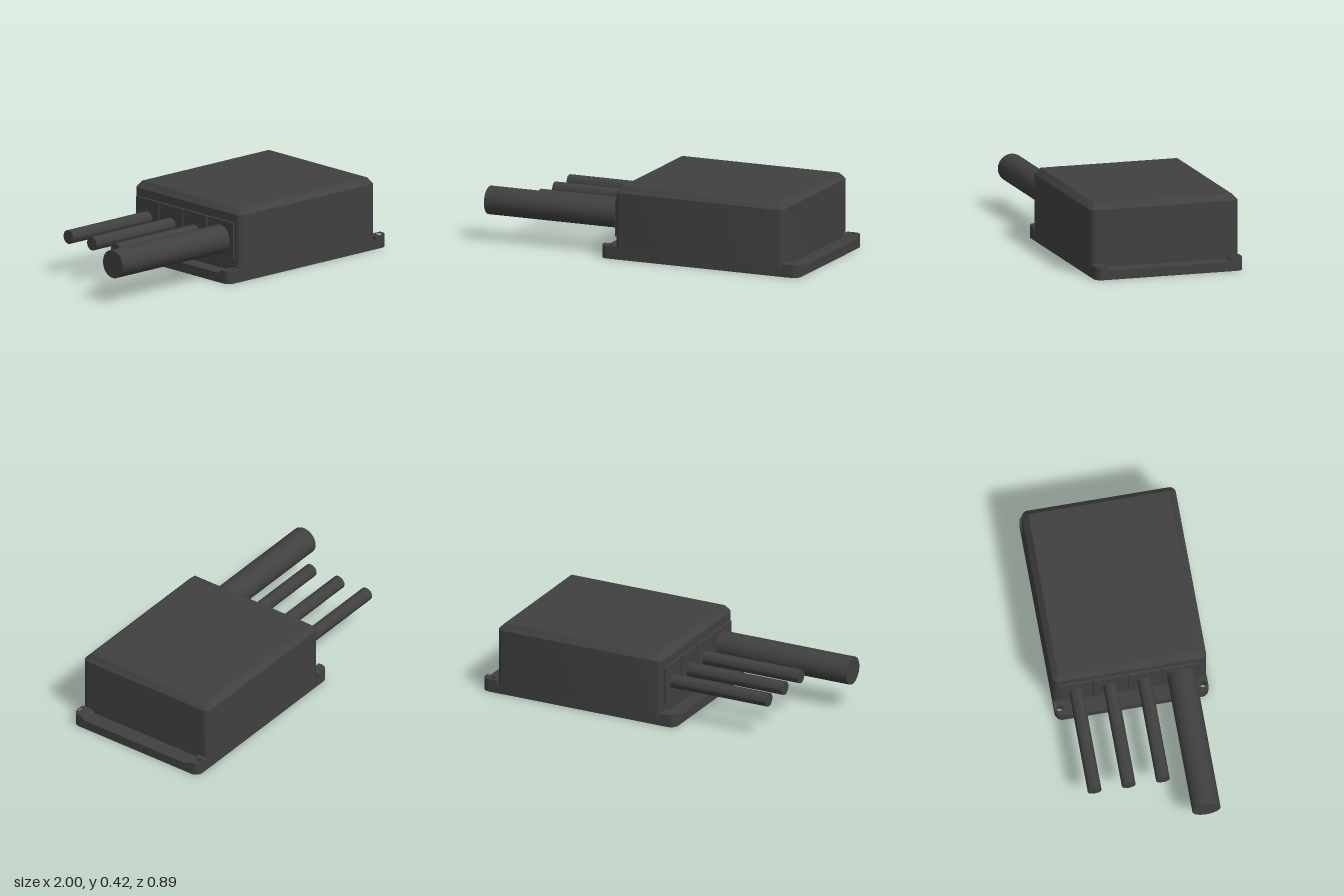
import * as THREE from 'three';
import { toCreasedNormals } from 'three/addons/utils/BufferGeometryUtils.js';

const HALF_X = 0.62, HALF_Z = 0.445, HOLE_X = 0.57, HOLE_Z = 0.415, HOLE_R = 0.02;
const CORNER = 0.045, PLATE_H = 0.055, PAD_H = 0.02, CENTER_X = 0.38;

export function createModel() {
  const group = new THREE.Group();
  const material = new THREE.MeshStandardMaterial({ color: 0x404040 });

  function add(name, geometry, x, y, z) {
    const mesh = new THREE.Mesh(toCreasedNormals(geometry, 0.6), material);
    mesh.name = name;
    mesh.position.set(x, y, z);
    group.add(mesh);
  }

  function roundedRect(hx, hz, r) {
    const s = new THREE.Shape();
    s.absarc(hx - r, hz - r, r, 0, Math.PI / 2);
    s.absarc(-hx + r, hz - r, r, Math.PI / 2, Math.PI);
    s.absarc(-hx + r, -hz + r, r, Math.PI, Math.PI * 1.5);
    s.absarc(hx - r, -hz + r, r, Math.PI * 1.5, Math.PI * 2);
    return s;
  }

  function drill(shape, x, z) {
    const hole = new THREE.Path();
    hole.absarc(x, z, HOLE_R, 0, Math.PI * 2, true);
    shape.holes.push(hole);
  }

  // Extrudes a plan outline upwards
  function slab(shape, depth, bevel = {}) {
    const options = { depth, curveSegments: 8, bevelEnabled: false, ...bevel };
    return new THREE.ExtrudeGeometry(shape, options).rotateX(-Math.PI / 2);
  }

  // Mounting plate with four screw holes
  const plate = roundedRect(HALF_X, HALF_Z, CORNER);
  for (const sx of [-1, 1]) for (const sz of [-1, 1]) drill(plate, sx * HOLE_X, sz * HOLE_Z);
  add('mountingPlate', slab(plate, PLATE_H), CENTER_X, 0, 0);

  // Raised screw pads, their inner edge sloping down to the plate
  const padInnerX = 0.525, padInnerZ = 0.38;
  for (const sx of [-1, 1]) for (const sz of [-1, 1]) {
    const points = [new THREE.Vector2(sx * padInnerX, sz * padInnerZ), new THREE.Vector2(sx * HALF_X, sz * padInnerZ)];
    for (let i = 0; i <= 8; i++) {
      const a = i / 8 * Math.PI / 2;
      points.push(new THREE.Vector2(
        sx * (HALF_X - CORNER + CORNER * Math.cos(a)),
        sz * (HALF_Z - CORNER + CORNER * Math.sin(a))));
    }
    points.push(new THREE.Vector2(sx * padInnerX, sz * HALF_Z));
    const shape = new THREE.Shape(points);
    drill(shape, sx * HOLE_X, sz * HOLE_Z);
    const geometry = slab(shape, PAD_H);
    const p = geometry.attributes.position;
    for (let i = 0; i < p.count; i++) {
      if (p.getY(i) < 0.001 && Math.abs(p.getZ(i)) < padInnerZ + 0.001) {
        p.setZ(i, Math.sign(p.getZ(i)) * (padInnerZ - 0.017));
      }
    }
    add('screwPad', geometry, CENTER_X, PLATE_H, 0);
  }

  // Housing with a chamfered lid; the lower chamfer sits inside the plate
  const chamfer = 0.035, bottom = 0.005, top = 0.425;
  const housing = slab(roundedRect(0.5275, HALF_Z, 0.036), top - bottom - 2 * chamfer, {
    bevelEnabled: true, bevelSegments: 1, bevelSize: chamfer,
    bevelThickness: chamfer, bevelOffset: -chamfer,
  });
  add('housing', housing, CENTER_X - 0.0025, bottom + chamfer, 0);

  // Cables, each leaving through its own raised entry panel
  const cableY = 0.232;
  const cables = [
    { z: -0.315, r: 0.04, end: -0.78, from: -0.41, to: -0.222 },
    { z: -0.118, r: 0.04, end: -0.78, from: -0.212, to: -0.022 },
    { z: 0.08, r: 0.04, end: -0.78, from: -0.012, to: 0.178 },
    { z: 0.293, r: 0.082, end: -1, from: 0.188, to: 0.4 },
  ];
  for (const c of cables) {
    add('entryPanel', new THREE.BoxGeometry(0.03, 0.22, c.to - c.from), -0.15, cableY, (c.from + c.to) / 2);
    const start = -0.14, length = start - c.end;
    const cable = new THREE.CylinderGeometry(c.r, c.r, length, 24).rotateZ(Math.PI / 2);
    add('cable', cable, (start + c.end) / 2, cableY, c.z);
  }

  return group;
}
